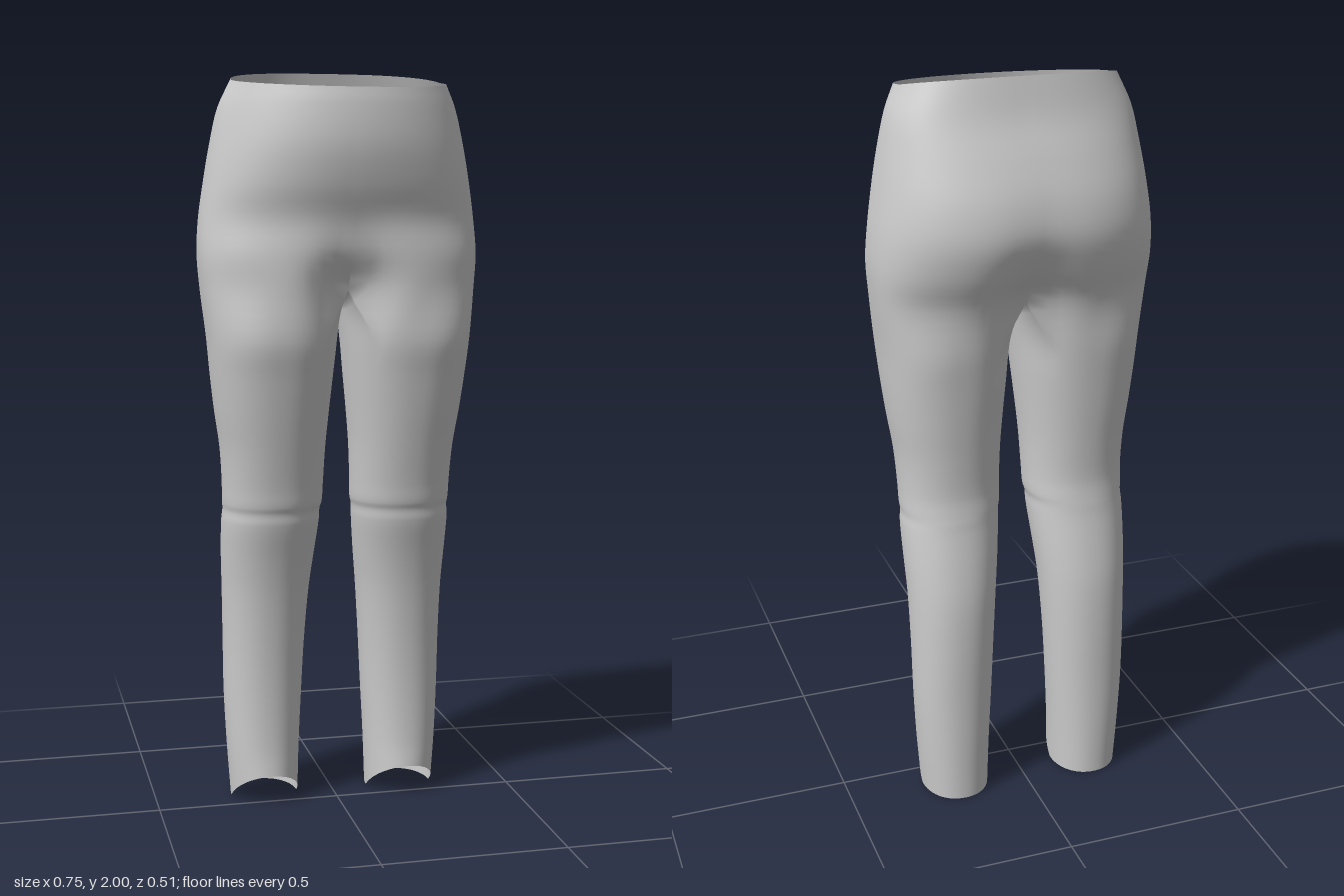
import * as THREE from 'three';
import { mergeVertices, mergeGeometries } from 'three/addons/utils/BufferGeometryUtils.js';

const OUTER = 48; // strips from front centre round the hip to back centre
const INNER = 20; // strips along the inside of a leg
const SUB = 4;    // smoothing steps between two sections
const GAP = 0.9;  // angle taken by half the inside of a leg

// Hip sections: y, half width, front z, back z, front notch, back notch, front and back roundness
const HIPS = [
  [2.00, 0.285, 0.250, -0.152, 0, 0, 1, 0.75],
  [1.90, 0.317, 0.257, -0.175, 0, 0, 1, 0.78],
  [1.80, 0.340, 0.260, -0.215, 0, 0, 0.97, 0.8],
  [1.70, 0.357, 0.240, -0.250, 0, 0.004, 0.9, 0.8],
  [1.61, 0.370, 0.212, -0.260, 0.004, 0.012, 0.85, 0.8],
  [1.52, 0.375, 0.213, -0.238, 0.025, 0.035, 0.77, 0.78],
  [1.43, 0.369, 0.213, -0.200, 0.075, 0.060, 0.75, 0.75],
];

// Leg sections: y, outer x, inner x, front z, back z, roundness
const LEGS = [
  [1.30, 0.355, 0.011, 0.202, -0.176, 0.85],
  [1.20, 0.346, 0.020, 0.182, -0.166, 0.87],
  [1.10, 0.335, 0.029, 0.161, -0.156, 0.9],
  [1.00, 0.321, 0.037, 0.139, -0.146, 0.92],
  [0.90, 0.315, 0.041, 0.118, -0.140, 0.93],
  [0.85, 0.314, 0.043, 0.110, -0.145, 0.93],
  [0.83, 0.312, 0.048, 0.103, -0.148, 0.93],
  [0.80, 0.315, 0.049, 0.100, -0.152, 0.93],
  [0.70, 0.314, 0.059, 0.074, -0.170, 0.93],
  [0.60, 0.310, 0.070, 0.054, -0.184, 0.93],
  [0.45, 0.307, 0.081, 0.037, -0.190, 0.93],
  [0.30, 0.305, 0.089, 0.030, -0.190, 0.93],
  [0.15, 0.298, 0.097, 0.033, -0.190, 0.93],
  [0.00, 0.288, 0.102, 0.040, -0.188, 0.93],
];

const power = (v, p) => Math.sign(v) * Math.abs(v) ** p;

function hipPoint([y, w, front, back, notchF, notchB, pF, pB], t, isWaist) {
  const c = Math.cos(t), mid = isWaist ? 0.03 : 0, p = c > 0 ? pF : pB;
  const x = t === 0 || t === Math.PI ? 0 : w * Math.sin(t) ** p;
  const groove = Math.exp(-((x / 0.09) ** 2));
  let z = mid + power(c, p) * (c > 0 ? front - mid : mid - back);
  z += groove * (c > 0 ? -notchF : notchB);
  // the waist edge dips towards the front
  return new THREE.Vector3(x, isWaist ? 1.97 - z * (z > 0 ? 0.12 : 0.2) : y, z);
}

function legPoint([y, outer, inner, front, back, p], angle) {
  const x = (outer + inner) / 2 - power(Math.cos(angle), p) * (outer - inner) / 2;
  const z = (front + back) / 2 + power(Math.sin(angle), p) * (front - back) / 2;
  // the hem is cut upwards at the front
  const hem = y === 0 ? 0.085 * THREE.MathUtils.clamp((z + 0.075) / 0.115, 0, 1) : 0;
  return new THREE.Vector3(x, y + hem, z);
}

function halfTrousers(side) {
  const columns = [];
  const steps = (HIPS.length + LEGS.length - 1) * SUB;
  const seam = (HIPS.length - 1) * SUB;
  const sample = (points) =>
    new THREE.CatmullRomCurve3(points, false, 'centripetal').getPoints((points.length - 1) * SUB);

  // front, outside and back: from the waist to the hem
  for (let i = 0; i <= OUTER; i++) {
    const t = i === OUTER ? Math.PI : (Math.PI * i) / OUTER;
    const angle = GAP + (2 * Math.PI - 2 * GAP) * (i / OUTER);
    columns.push(sample([
      ...HIPS.map((row, k) => hipPoint(row, t, k === 0)),
      ...LEGS.map((row) => legPoint(row, angle)),
    ]));
  }

  // inside of the leg: from the crotch seam to the hem
  const frontZ = columns[0][seam].z, backZ = columns[OUTER][seam].z;
  for (let i = 1; i < INNER; i++) {
    const s = i / INNER;
    const crotch = new THREE.Vector3(0, 1.43 - 0.16 * s * (1 - s), backZ + (frontZ - backZ) * s);
    const angle = -GAP + 2 * GAP * s;
    const points = sample([crotch, ...LEGS.map((row) => legPoint(row, angle))]);
    columns.push([...Array(seam).fill(crotch), ...points]);
  }

  const positions = [], index = [];
  for (const column of columns) for (const p of column) positions.push(side * p.x, p.y, p.z);
  columns.forEach((_, c) => {
    const next = (c + 1) % columns.length;
    for (let j = c < OUTER ? 0 : seam; j < steps; j++) {
      const a = c * (steps + 1) + j, b = next * (steps + 1) + j;
      if (side > 0) index.push(a, a + 1, b, b, a + 1, b + 1);
      else index.push(a, b, a + 1, b, b + 1, a + 1);
    }
  });
  const geometry = new THREE.BufferGeometry();
  geometry.setAttribute('position', new THREE.Float32BufferAttribute(positions, 3));
  geometry.setIndex(index);
  return geometry;
}

export function createModel() {
  const group = new THREE.Group();
  group.name = 'trousers';
  // both halves are welded along the centre so the cloth shades smoothly
  const geometry = mergeVertices(mergeGeometries([halfTrousers(1), halfTrousers(-1)]), 1e-4);
  geometry.computeVertexNormals();
  const cloth = new THREE.MeshStandardMaterial({ color: 0xcccccc, side: THREE.DoubleSide });
  const mesh = new THREE.Mesh(geometry, cloth);
  mesh.name = 'trouserCloth';
  group.add(mesh);
  return group;
}
